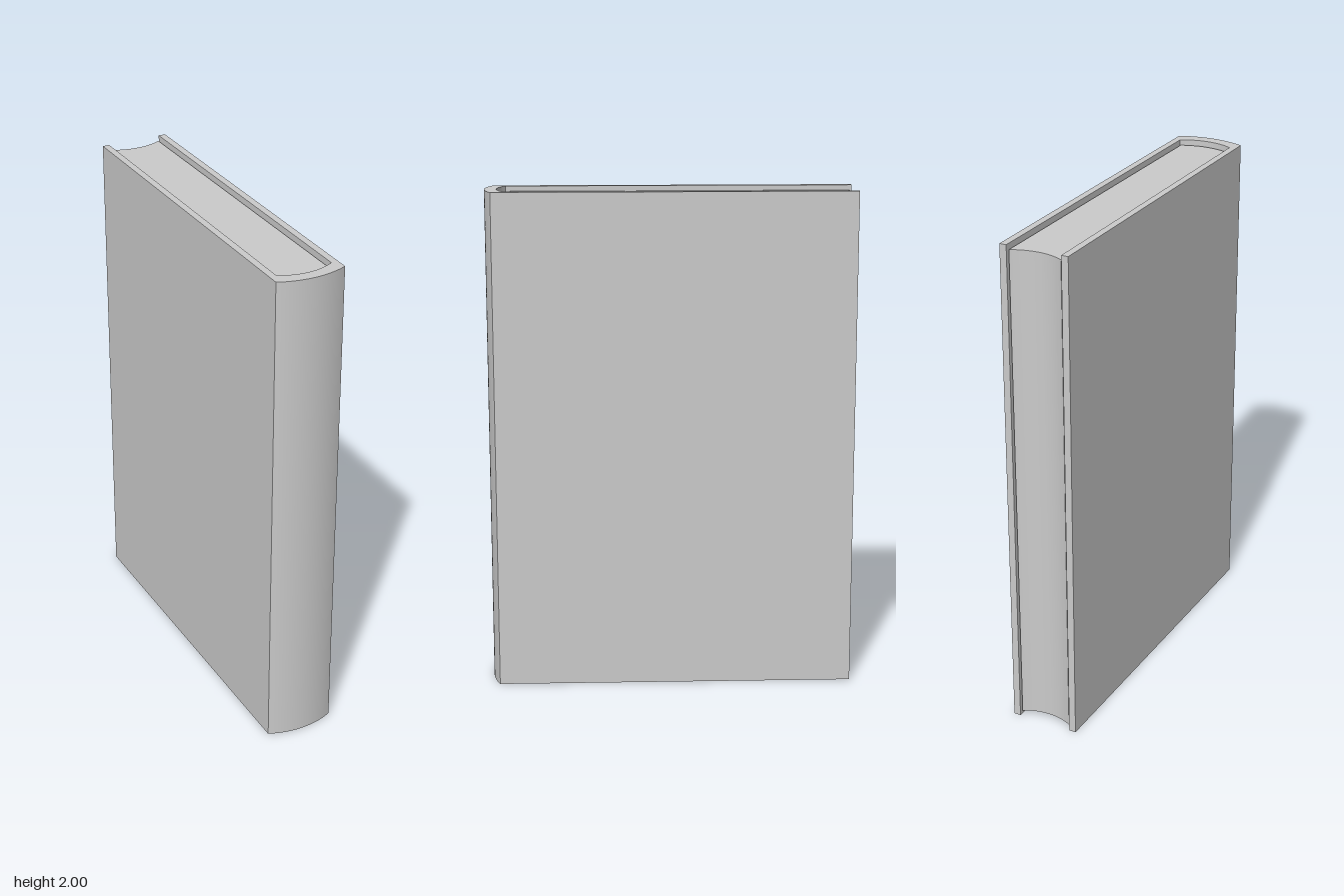
import * as THREE from 'three';
import { toCreasedNormals } from 'three/addons/utils/BufferGeometryUtils.js';

const HEIGHT = 2;
const STEPS = 24;

// Points [x, z] of a shallow bow from (x0, edge) to (-x0, edge), reaching mid at x = 0
function bow(x0, edge, mid) {
  const s = Math.abs(mid - edge), h = Math.abs(x0);
  const r = (h * h + s * s) / (2 * s);
  const a = Math.asin(h / r);
  const points = [];
  for (let i = 0; i <= STEPS; i++) {
    const t = Math.sign(x0) * a * (1 - (2 * i) / STEPS);
    const drop = r * (1 - Math.cos(t));
    points.push([r * Math.sin(t), mid + Math.sign(edge - mid) * drop]);
  }
  return points;
}

// Upright prism over a plan outline of [x, z] points, inset from both ends
function prism(name, outline, inset, material) {
  const shape = new THREE.Shape(outline.map(([x, z]) => new THREE.Vector2(x, -z)));
  const geometry = new THREE.ExtrudeGeometry(shape, { depth: HEIGHT - 2 * inset, bevelEnabled: false });
  geometry.rotateX(-Math.PI / 2).translate(0, inset, 0);
  const mesh = new THREE.Mesh(toCreasedNormals(geometry, 0.35), material);
  mesh.name = name;
  return mesh;
}

export function createModel() {
  const book = new THREE.Group();
  book.name = 'book';
  const material = new THREE.MeshStandardMaterial({ color: 0xcccccc });

  // Cover: two boards joined by a rounded spine
  const cover = [
    [-0.14, -0.73],
    ...bow(-0.14, 0.70, 0.73),
    [0.14, -0.73],
    [0.112, -0.73],
    ...bow(0.112, 0.652, 0.682),
    [-0.112, -0.73],
  ];
  book.add(prism('cover', cover, 0, material));

  // Pages: rounded at the spine, hollow at the fore-edge
  const pages = [
    ...bow(-0.106, 0.645, 0.67),
    ...bow(0.106, -0.722, -0.695),
  ];
  book.add(prism('pages', pages, 0.02, material));

  // Endpapers: fill the narrow gap between pages and cover
  const endpapers = [
    ...bow(-0.112, 0.652, 0.682),
    ...bow(0.112, -0.712, -0.685),
  ];
  book.add(prism('endpapers', endpapers, 0.028, material));

  return book;
}
